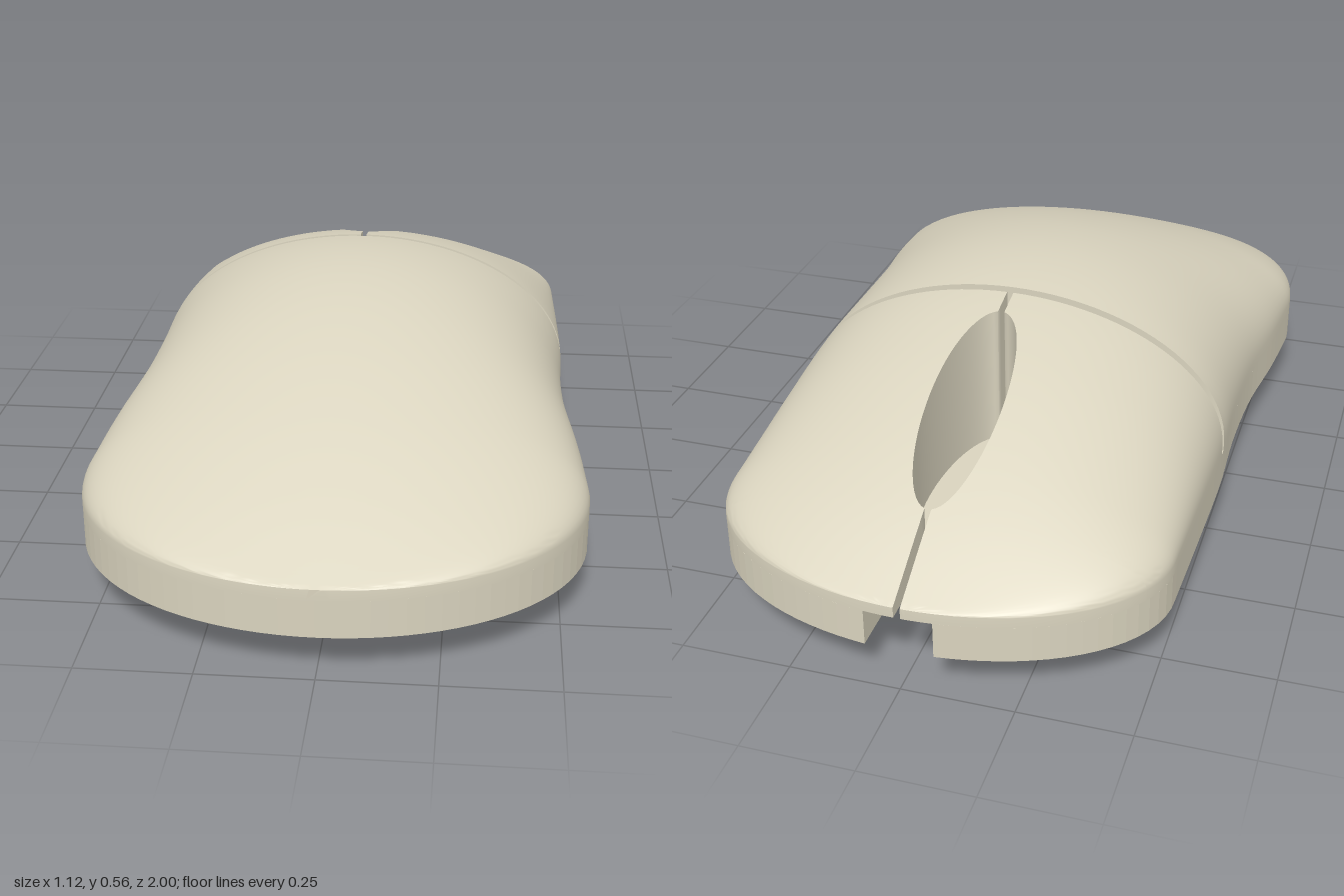
import * as THREE from 'three';
import { toCreasedNormals } from 'three/addons/utils/BufferGeometryUtils.js';
import { RoundedBoxGeometry } from 'three/addons/geometries/RoundedBoxGeometry.js';

const BASE_TOP = 0.185, RIM = 0.21, SEAM_PALM = -0.188, SEAM_BUTTON = -0.209;

// smooth curve through [position, value] knots
function smooth(knots, z) {
  const n = knots.length;
  let i = 0;
  while (i < n - 2 && z > knots[i + 1][0]) i++;
  const slope = (k) => {
    const a = knots[Math.max(k - 1, 0)], b = knots[Math.min(k + 1, n - 1)];
    return (b[1] - a[1]) / (b[0] - a[0]);
  };
  const [z0, v0] = knots[i], [z1, v1] = knots[i + 1];
  const h = z1 - z0, t = (z - z0) / h, t2 = t * t, t3 = t2 * t;
  return (2 * t3 - 3 * t2 + 1) * v0 + (t3 - 2 * t2 + t) * h * slope(i)
    + (3 * t2 - 2 * t3) * v1 + (t3 - t2) * h * slope(i + 1);
}

const WAIST = [[-0.68, 0.51], [-0.4, 0.517], [-0.2, 0.52], [0, 0.514], [0.2, 0.521], [0.4, 0.546], [0.57, 0.56]];
const SPINE = [[-1, 0.21], [-0.8, 0.32], [-0.6, 0.415], [-0.4, 0.492], [-0.2, 0.543], [0, 0.557],
  [0.2, 0.535], [0.4, 0.482], [0.6, 0.405], [0.8, 0.312], [1, 0.21]];

// half width of the plan outline: waisted sides with elliptical ends
function halfWidth(z) {
  const arc = (u) => Math.sqrt(Math.max(0, 1 - u * u));
  if (z > 0.57) return 0.56 * arc((z - 0.57) / 0.43);
  if (z < -0.68) return 0.51 * arc((-z - 0.68) / 0.32);
  return smooth(WAIST, z);
}

// half width of the slit between the buttons, widening to the wheel opening
function slit(z) {
  const u = (z + 0.54) / 0.26;
  return Math.max(0.0075, 0.085 * Math.sqrt(Math.max(0, 1 - u * u)));
}

// elliptical dome section at z, running clockwise seen from +z
function section(z, startAngle, steps) {
  const w = halfWidth(z), h = smooth(SPINE, z) - RIM, ring = [];
  for (let i = 0; i <= steps; i++) {
    const a = startAngle + (Math.PI / 2 - startAngle) * i / steps;
    ring.push([w * Math.sin(a), RIM + h * Math.cos(a)]);
  }
  ring.unshift([ring[0][0], BASE_TOP]);
  ring.push([w, BASE_TOP]);
  return ring;
}

// closed loft of rings placed at ascending z
function loft(zs, ringAt) {
  const pos = [], idx = [];
  let n = 0;
  zs.forEach((z) => {
    const ring = ringAt(z);
    n = ring.length;
    ring.forEach(([x, y]) => pos.push(x, y, z));
  });
  const last = (zs.length - 1) * n;
  for (let k = 0; k < zs.length - 1; k++) {
    for (let i = 0; i < n; i++) {
      const a = k * n + i, b = k * n + (i + 1) % n;
      idx.push(a, a + n, b, b, a + n, b + n);
    }
  }
  for (let i = 1; i < n - 1; i++) idx.push(0, i, i + 1, last, last + i + 1, last + i);
  const g = new THREE.BufferGeometry();
  g.setAttribute('position', new THREE.Float32BufferAttribute(pos, 3));
  g.setIndex(idx);
  return toCreasedNormals(g, 0.6);
}

// flat shape in plan (x, z), raised from y
function slab(points, holes, y, options) {
  const flip = (list) => list.map(([x, z]) => new THREE.Vector2(x, -z));
  const shape = new THREE.Shape(flip(points));
  holes.forEach((h) => shape.holes.push(new THREE.Path(flip(h))));
  const g = new THREE.ExtrudeGeometry(shape, { bevelEnabled: false, ...options });
  return g.rotateX(-Math.PI / 2).translate(0, y, 0);
}

const rect = (x, z0, z1) => [[-x, z0], [x, z0], [x, z1], [-x, z1]];
const steps = (n, f) => Array.from({ length: n + 1 }, (_, i) => f(i / n));

export function createModel() {
  const group = new THREE.Group();
  const beige = new THREE.MeshStandardMaterial({ color: 0xd9d3be });
  beige.name = 'warm beige';
  const green = new THREE.MeshStandardMaterial({ color: 0x709c8b });
  green.name = 'sage green';
  const grey = new THREE.MeshStandardMaterial({ color: 0x74867f });
  grey.name = 'green grey';
  const add = (name, geometry, material) => {
    const mesh = new THREE.Mesh(geometry, material);
    mesh.name = name;
    group.add(mesh);
    return mesh;
  };
  const { lerp } = THREE.MathUtils;

  // palm shell
  const palmZ = steps(56, (u) => lerp(SEAM_PALM, 0.9998, Math.sin(u * Math.PI / 2)));
  add('palmShell', loft(palmZ, (z) => section(z, -Math.PI / 2, 48)), beige);

  // two buttons, mirrored, with the wheel opening cut between them
  const buttonZ = [
    ...steps(16, (u) => lerp(-0.9998, -0.8, 1 - Math.cos(u * Math.PI / 2))),
    ...steps(32, (u) => lerp(-0.8, -0.28, 0.5 - 0.5 * Math.cos(u * Math.PI))).slice(1),
    ...steps(4, (u) => lerp(-0.28, SEAM_BUTTON, u)).slice(1),
  ];
  const buttonRing = (z) => section(z, Math.asin(Math.min(0.98, slit(z) / halfWidth(z))), 28);
  add('leftButton', loft(buttonZ, buttonRing), beige);
  add('rightButton', loft(buttonZ, (z) => buttonRing(z).map(([x, y]) => [-x, y]).reverse()), beige);

  // base with cable notch and inner pocket
  const side = steps(72, (u) => lerp(-0.9965, 1, 0.5 - 0.5 * Math.cos(u * Math.PI)))
    .map((z) => [halfWidth(z), z]);
  const mirrored = side.slice(0, -1).reverse().map(([x, z]) => [-x, z]);
  const outline = [...side, ...mirrored, [-0.075, -0.77], [0.075, -0.77]];
  add('base', slab(outline, [rect(0.12, -0.24, 0.1)], 0.1, { depth: BASE_TOP - 0.1 }), beige);

  // bevelled bottom plate with a sensor opening
  const half = [[0.28, -0.74], [0.42, -0.62], [0.42, 0.6], [0.33, 0.72]];
  const plate = [...half, ...half.slice().reverse().map(([x, z]) => [-x, z])];
  add('bottomPlate', slab(plate, [rect(0.1, -0.09, 0.09)], 0.09, {
    depth: 0.01, bevelEnabled: true, bevelThickness: 0.01, bevelSize: 0.01, bevelOffset: -0.01, bevelSegments: 1,
  }), green);

  // hollow sensor housing
  add('sensorHousing', slab(rect(0.15, -0.14, 0.14), [rect(0.1, -0.09, 0.09)], 0.006, {
    depth: 0.08, bevelEnabled: true, bevelThickness: 0.006, bevelSize: 0.006, bevelOffset: -0.006, bevelSegments: 1,
  }), grey);

  // glide feet
  for (const x of [-0.34, 0.34]) {
    for (const z of [-0.277, 0.523]) {
      add('foot', new RoundedBoxGeometry(0.09, 0.042, 0.085, 2, 0.01), beige).position.set(x, 0.061, z);
    }
  }
  return group;
}
